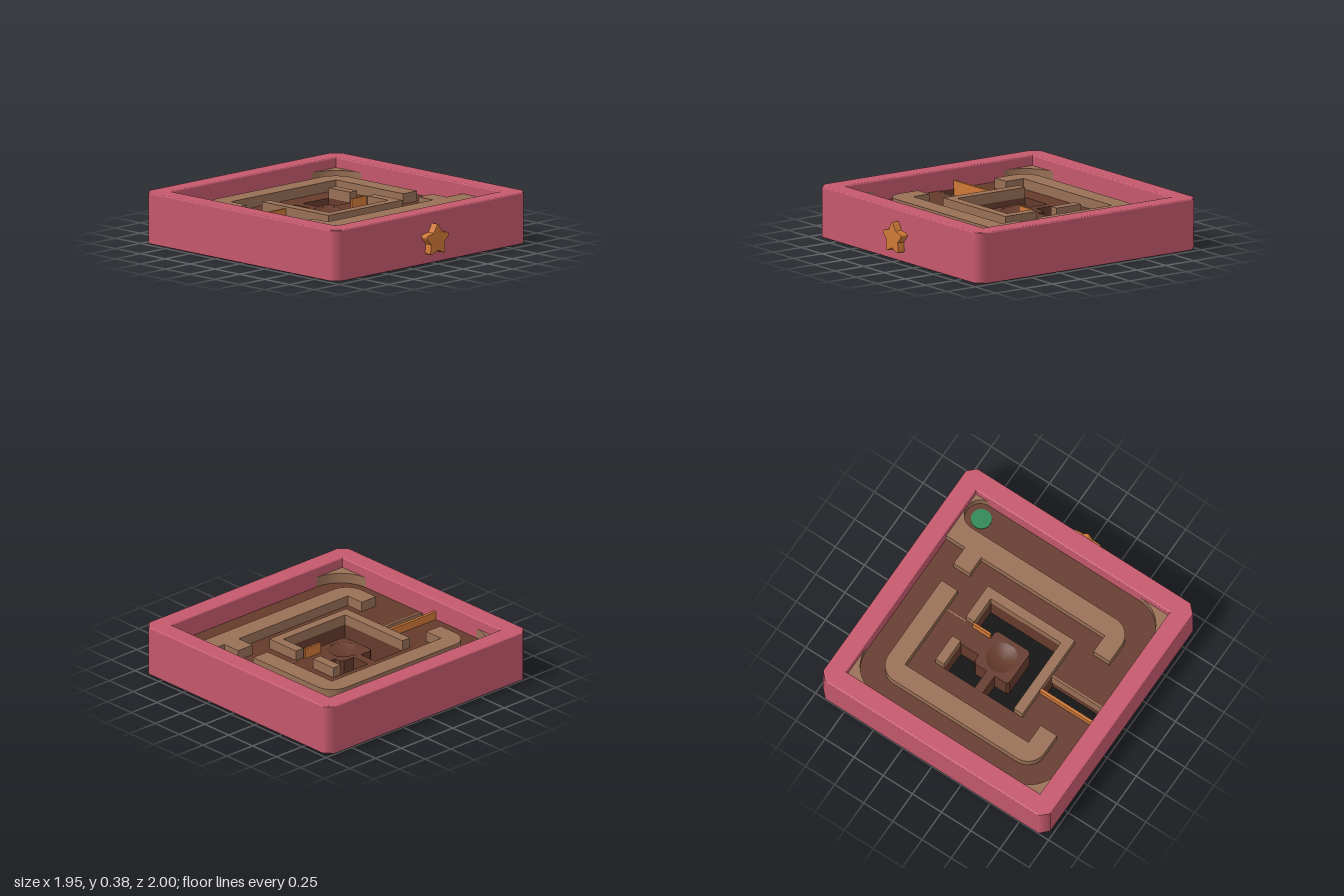
import * as THREE from 'three';

const paint = (name, color) => {
  const m = new THREE.MeshStandardMaterial({ color });
  m.name = name;
  return m;
};

export function createModel() {
  const pink = paint('pink', 0xc4586c), floorBrown = paint('floor brown', 0x653b2c);
  const tan = paint('wall tan', 0x986f55), orange = paint('orange', 0xcf7836);
  const green = paint('green', 0x2e8757), black = paint('black', 0x040404);
  const model = new THREE.Group();
  model.name = 'marbleMaze';

  const add = (name, geo, mat) => {
    const mesh = new THREE.Mesh(geo, mat);
    mesh.name = name;
    model.add(mesh);
    return mesh;
  };
  // Plan outlines are given as [x, z]; shapes use -z so they can be laid flat.
  // Outlines are made counter-clockwise so that hole walls face inwards.
  const outline = (pts, S = THREE.Shape) => {
    const v = pts.map(([x, z]) => new THREE.Vector2(x, -z));
    return new S(THREE.ShapeUtils.isClockWise(v) ? v.reverse() : v);
  };
  const rect = (x0, x1, z0, z1) => [[x0, z0], [x1, z0], [x1, z1], [x0, z1]];
  const arc = (cx, cz, r, from, to, n = 12) => Array.from({ length: n + 1 }, (_, i) => {
    const a = (from + (to - from) * i / n) * Math.PI / 180;
    return [cx + r * Math.cos(a), cz + r * Math.sin(a)];
  });
  const slab = (name, shape, y0, y1, mat, bevel = 0) => {
    const geo = new THREE.ExtrudeGeometry(shape, {
      depth: y1 - y0 - 2 * bevel, bevelEnabled: bevel > 0, bevelSize: bevel,
      bevelThickness: bevel, bevelOffset: -bevel, bevelSegments: 3,
    });
    geo.rotateX(-Math.PI / 2).translate(0, y0 + bevel, 0);
    return add(name, geo, mat);
  };
  const box = (name, x0, x1, y0, y1, z0, z1, mat) => add(name,
    new THREE.BoxGeometry(x1 - x0, y1 - y0, z1 - z0)
      .translate((x0 + x1) / 2, (y0 + y1) / 2, (z0 + z1) / 2), mat);

  // Chamfered case rim and black underside
  const chamfered = (inset) => {
    const x = 0.975 - inset, z0 = -1 + inset, z1 = 0.945 - inset, c = 0.06;
    return [[-x + c, z0], [x - c, z0], [x, z0 + c], [x, z1 - c],
      [x - c, z1], [-x + c, z1], [-x, z1 - c], [-x, z0 + c]];
  };
  const rimShape = outline(chamfered(0));
  rimShape.holes.push(outline(rect(-0.83, 0.83, -0.855, 0.8), THREE.Path));
  const rim = slab('caseRim', rimShape, 0.001, 0.375, pink, 0.01);

  // Shade the corner chamfers smoothly into the flat sides
  const pos = rim.geometry.attributes.position, nor = rim.geometry.attributes.normal;
  for (let i = 0; i < pos.count; i++) {
    const nx = nor.getX(i), nz = nor.getZ(i);
    if (Math.abs(nx) < 0.6 || Math.abs(nz) < 0.6) continue;
    if (Math.abs(pos.getX(i)) > 0.95) nor.setXYZ(i, Math.sign(nx), 0, 0);
    else nor.setXYZ(i, 0, 0, Math.sign(nz));
  }
  slab('base', outline(chamfered(0.01)), 0, 0.012, black);

  // Maze floor with a slot, the two halves of the central pit and a dish
  const FLOOR = 0.225, TOP = 0.3;
  const floor = outline(rect(-0.845, 0.845, -0.87, 0.815));
  const holes = [
    rect(-0.829, -0.375, -0.175, -0.02),
    [[0.035, -0.4], [0.3, -0.4], [0.3, -0.18], [0.15, -0.18], [0.15, -0.23], [0.13, -0.25], [0.035, -0.25]],
    [[-0.3, -0.4], [-0.035, -0.4], [-0.035, -0.25], [-0.13, -0.25], [-0.15, -0.23], [-0.15, 0.025],
      [-0.13, 0.045], [0.13, 0.045], [0.15, 0.025], [0.15, -0.02], [0.3, -0.02], [0.3, 0.2], [-0.3, 0.2]],
    arc(0, -0.105, 0.115, 0, 350, 35),
  ];
  for (const h of holes) floor.holes.push(outline(h, THREE.Path));
  slab('mazeFloor', floor, 0.011, FLOOR, floorBrown);

  // Shallow dish in the central island
  const dish = [[0.116, 0], [0.08, -0.019], [0.04, -0.031], [0, -0.035]].map(p => new THREE.Vector2(...p));
  add('centreDish', new THREE.LatheGeometry(dish, 36), floorBrown).position.set(0, FLOOR, -0.105);

  // Outer maze walls
  slab('upperMazeWall', outline([
    [-0.67, -0.4], ...arc(-0.53, -0.56, 0.14, 180, 270), ...arc(0.53, -0.56, 0.14, 270, 360),
    [0.67, 0.12], [0.53, 0.12], [0.53, -0.555], [-0.53, -0.555], [-0.53, -0.4],
  ]), FLOOR - 0.01, TOP, tan);
  slab('lowerMazeWall', outline([
    [-0.67, 0.275], [-0.53, 0.275], [-0.53, 0.42], [0.53, 0.42], [0.53, 0.275], [0.67, 0.275],
    [0.67, 0.42], [0.83, 0.42], [0.83, 0.57], ...arc(-0.53, 0.43, 0.14, 90, 180),
  ]), FLOOR - 0.01, TOP, tan);

  // Inner wall around the pit
  slab('innerMazeWall', outline([
    [-0.375, -0.4], [-0.3, -0.4], [-0.3, 0.2], [0.3, 0.2], [0.3, -0.01],
    [0.372, -0.01], [0.372, 0.27], [-0.375, 0.27],
  ]), FLOOR - 0.01, TOP, tan);
  box('innerWallStub', 0.3, 0.372, FLOOR - 0.01, TOP, -0.4, -0.185, tan);

  // Concave corner fillers: corner position, radius, z direction
  const corners = [[-0.83, -0.855, 0.25, -1], [0.83, -0.855, 0.25, -1], [-0.83, 0.8, 0.25, 1],
    [0.83, 0.8, 0.115, 1], [0.83, 0.57, 0.115, -1]];
  for (const [x, z, r, sz] of corners) {
    const curve = arc(0, 0, r, 0, 90).map(([a, b]) => [x + Math.sign(x) * (a - r), z + sz * (b - r)]);
    slab('cornerFiller', outline([[x, z], ...curve]), FLOOR - 0.01, TOP, tan);
  }

  // Upright gates and thin lips beside the slot and the pit
  box('slotGate', -0.83, -0.375, 0.1, 0.285, -0.18, -0.158, orange);
  box('pitGate', 0.15, 0.3, 0.1, 0.3, -0.032, -0.015, orange);
  box('slotLip', -0.83, -0.375, 0.1, FLOOR + 0.002, -0.028, -0.014, tan);
  box('bridgeLip', 0.372, 0.525, 0.2, FLOOR + 0.002, -0.026, -0.014, tan);

  // Green starting spot
  add('startSpot', new THREE.CylinderGeometry(0.075, 0.075, 0.008, 32), green)
    .position.set(0.707, FLOOR + 0.004, 0.685);

  // Rounded star knob on the front
  const star = new THREE.Shape();
  const polar = (r, k) => new THREE.Vector2(r * Math.sin(k * Math.PI / 5), r * Math.cos(k * Math.PI / 5));
  star.moveTo(...polar(0.072, -1));
  for (let k = 0; k > -10; k -= 2) {
    const tip = polar(0.135, k), right = polar(0.072, k + 1), left = polar(0.072, k - 1);
    const a = right.clone().lerp(tip, 0.55), b = left.clone().lerp(tip, 0.55);
    if (k === 0) star.currentPoint.copy(right);
    star.lineTo(a.x, a.y);
    star.quadraticCurveTo(tip.x, tip.y, b.x, b.y);
    star.lineTo(left.x, left.y);
  }
  add('starKnob', new THREE.ExtrudeGeometry(star, {
    depth: 0.06, bevelEnabled: true, bevelSize: 0.005, bevelThickness: 0.005,
    bevelOffset: -0.005, bevelSegments: 2, curveSegments: 8,
  }), orange).position.set(0, 0.171, 0.935);

  return model;
}
